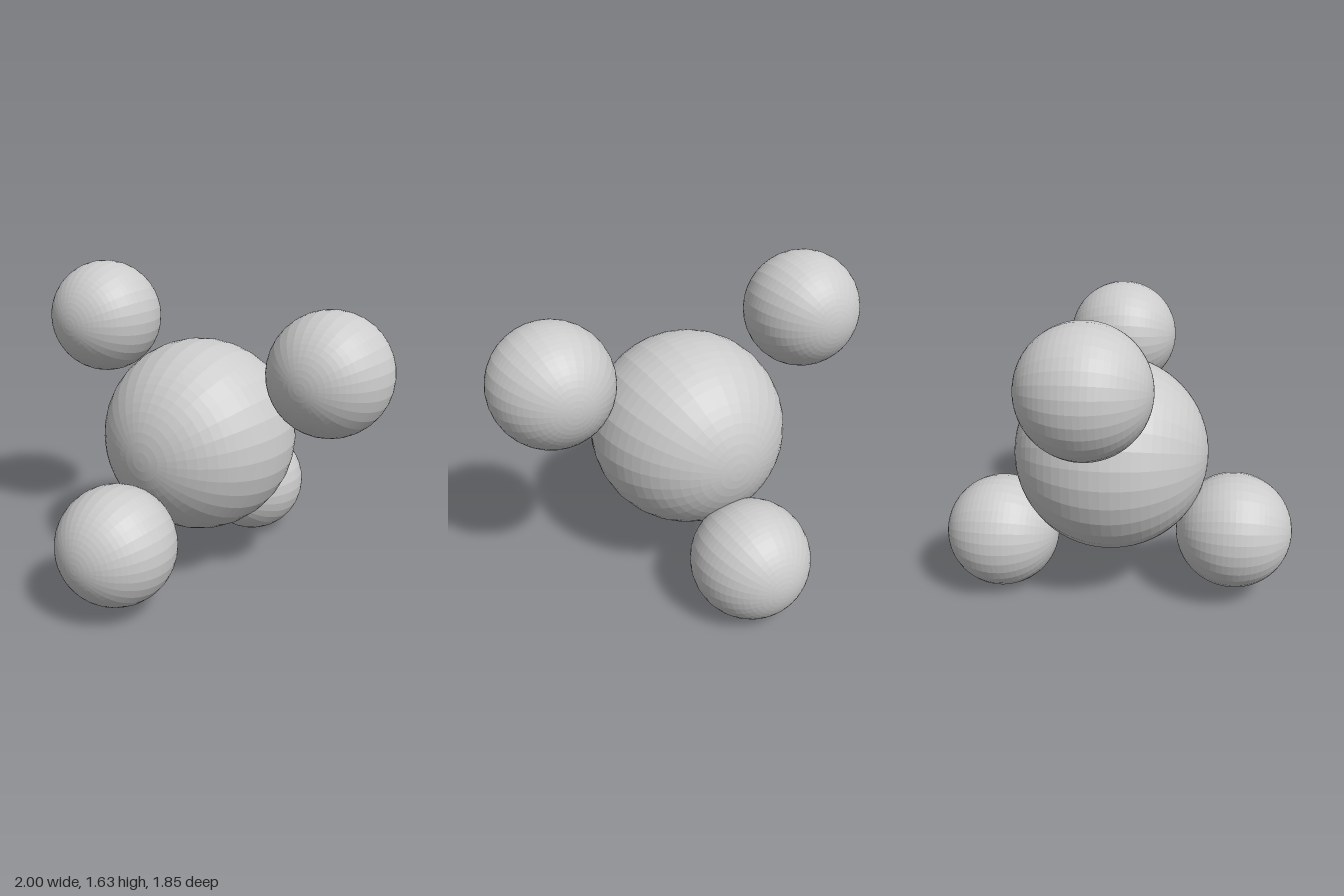
import * as THREE from 'three';

export function createModel() {
  const model = new THREE.Group();
  const material = new THREE.MeshStandardMaterial({ color: 0xcccccc, flatShading: true });

  // Faceted ball with its poles along z
  function addBall(name, radius, x, y, z) {
    const geometry = new THREE.SphereGeometry(radius, 32, 32).rotateX(Math.PI / 2);
    const ball = new THREE.Mesh(geometry, material);
    ball.name = name;
    ball.position.set(x, y, z);
    model.add(ball);
  }

  // Central atom
  addBall('centralAtom', 0.505, -0.035, 0.78, -0.03);

  // Four outer atoms in a tetrahedral arrangement
  const r = 0.303;
  addBall('rightAtom', r, -0.697, 1.325, -0.07);
  addBall('leftAtom', r, 0.697, 1.222, -0.045);
  addBall('frontAtom', r, -0.08, 0.382, 0.622);
  addBall('backAtom', r, -0.065, 0.303, -0.622);

  return model;
}
